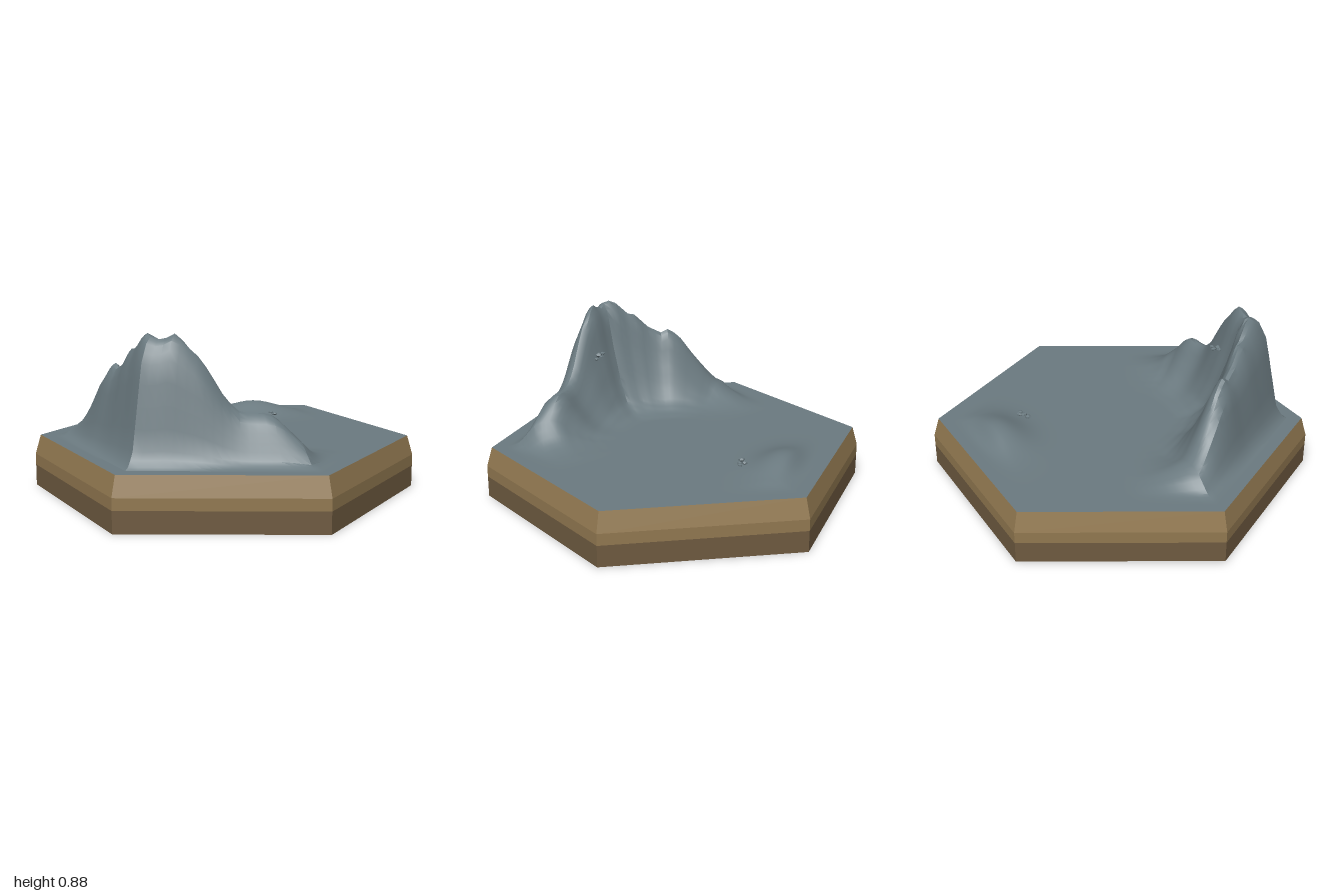
import * as THREE from 'three';
import { toCreasedNormals } from 'three/addons/utils/BufferGeometryUtils.js';

const GROUND = 0.272;
const APOTHEM = Math.sqrt(3) / 2;

// Smooth interpolation through [key, value] pairs
function sample(table, v) {
  if (v <= table[0][0]) return table[0][1];
  for (let i = 1; i < table.length; i++) {
    const [k0, a] = table[i - 1], [k1, b] = table[i];
    if (v <= k1) return a + (b - a) * (v - k0) / (k1 - k0);
  }
  return table[table.length - 1][1];
}

// Crest height along the ridge, by angle in degrees from -x towards +z
const crest = [[-55, 0], [-44, 0.02], [-35, 0.06], [-28, 0.11], [-19, 0.25], [-10, 0.39],
  [-4, 0.44], [0, 0.42], [8, 0.46], [14, 0.53], [19, 0.54], [26, 0.615], [34, 0.58],
  [40, 0.62], [44, 0.57], [50, 0.51], [55, 0.43], [60, 0.34], [66, 0.26], [72, 0.24],
  [80, 0.24], [85, 0.2], [90, 0.13], [98, 0.045], [105, 0.015], [116, 0]];
// Cross-section of the ridge, from the basin out to the rim
const inner = [[0.28, 0], [0.34, 0.03], [0.4, 0.12], [0.45, 0.3], [0.51, 0.62], [0.55, 0.9], [0.58, 1]];
const outer = [[0.58, 1], [0.61, 0.96], [0.65, 0.8], [0.68, 0.5], [0.72, 0.11], [0.76, 0]];

function hexDistance(x, z) {
  return Math.max(Math.abs(x), Math.abs(x) * 0.5 + Math.abs(z) * APOTHEM);
}

function heightAt(x, z) {
  const d = hexDistance(x, z), r = Math.hypot(x, z);
  const angle = THREE.MathUtils.radToDeg(Math.atan2(z, -x));
  const ridge = sample(crest, angle) * sample(inner, (d + r * 0.94) / 2) * sample(outer, d);
  // low mound along the opposite edge
  const dx = x - 0.46, dz = z + 0.46;
  const along = dx * APOTHEM + dz * 0.5, across = dx * 0.5 - dz * APOTHEM;
  const rim = 1 - THREE.MathUtils.smoothstep(d, 0.66, 0.78);
  const mound = 0.068 * Math.exp(-((along / 0.2) ** 2) - (across / 0.13) ** 2) * rim;
  return GROUND + ridge + mound;
}

// Hexagonal rings lifted by the height rule
function terrainGeometry() {
  const rings = 48, perSide = 18, around = perSide * 6, size = 0.97;
  const pos = [], index = [];
  const corner = (k) => [Math.cos(Math.PI / 2 + k * Math.PI / 3), Math.sin(Math.PI / 2 + k * Math.PI / 3)];
  for (let i = 0; i <= rings; i++) {
    const s = size * i / rings;
    for (let j = 0; j < around; j++) {
      const k = Math.floor(j / perSide), t = (j % perSide) / perSide;
      const a = corner(k), b = corner(k + 1);
      const x = s * (a[0] + (b[0] - a[0]) * t), z = s * (a[1] + (b[1] - a[1]) * t);
      pos.push(x, heightAt(x, z), z);
      if (i === rings) continue;
      const p = i * around + j, q = i * around + (j + 1) % around;
      if (i > 0) index.push(p, q, p + around);
      index.push(q, q + around, p + around);
    }
  }
  const g = new THREE.BufferGeometry();
  g.setAttribute('position', new THREE.Float32BufferAttribute(pos, 3));
  g.setIndex(index);
  return toCreasedNormals(g, 0.5);
}

export function createModel() {
  const model = new THREE.Group();
  const rock = new THREE.MeshStandardMaterial({ name: 'slateRock', color: 0x6b7a80 });
  const soil = new THREE.MeshStandardMaterial({ name: 'lightSoil', color: 0x917850 });
  const deepSoil = new THREE.MeshStandardMaterial({ name: 'darkSoil', color: 0x6e5a40 });

  function add(name, geometry, material, parent = model) {
    const mesh = new THREE.Mesh(geometry, material);
    mesh.name = name;
    parent.add(mesh);
    return mesh;
  }

  // Hexagonal base in stacked bands
  function band(name, y0, y1, r0, r1, material, open) {
    const g = new THREE.CylinderGeometry(r1, r0, y1 - y0, 6, 1, open).toNonIndexed();
    g.computeVertexNormals();
    add(name, g, material).position.y = (y0 + y1) / 2;
  }
  band('lowerBase', 0, 0.11, 1, 1, deepSoil, false);
  band('middleBase', 0.11, 0.17, 1, 1, soil, true);
  band('upperBase', 0.17, GROUND, 1, 0.97, soil, true);

  // Ground with curved mountain ridge and mound
  add('mountainTerrain', terrainGeometry(), rock);

  // Small clusters of loose stones: x, y, z, radius
  const clusters = {
    moundStones: [[0.41, 0.298, -0.265, 0.017], [0.445, 0.295, -0.25, 0.014],
      [0.463, 0.302, -0.272, 0.015], [0.475, 0.297, -0.245, 0.013]],
    ridgeStones: [[-0.385, 0.628, 0.375, 0.022], [-0.365, 0.622, 0.36, 0.014],
      [-0.34, 0.618, 0.388, 0.012], [-0.4, 0.632, 0.35, 0.013]],
  };
  for (const [name, stones] of Object.entries(clusters)) {
    const group = new THREE.Group();
    group.name = name;
    stones.forEach(([x, y, z, r], i) => {
      const stone = add('stone', new THREE.DodecahedronGeometry(r, 0), rock, group);
      stone.position.set(x, y, z);
      stone.scale.y = 0.6;
      stone.rotation.y = i * 1.3;
    });
    model.add(group);
  }
  return model;
}
